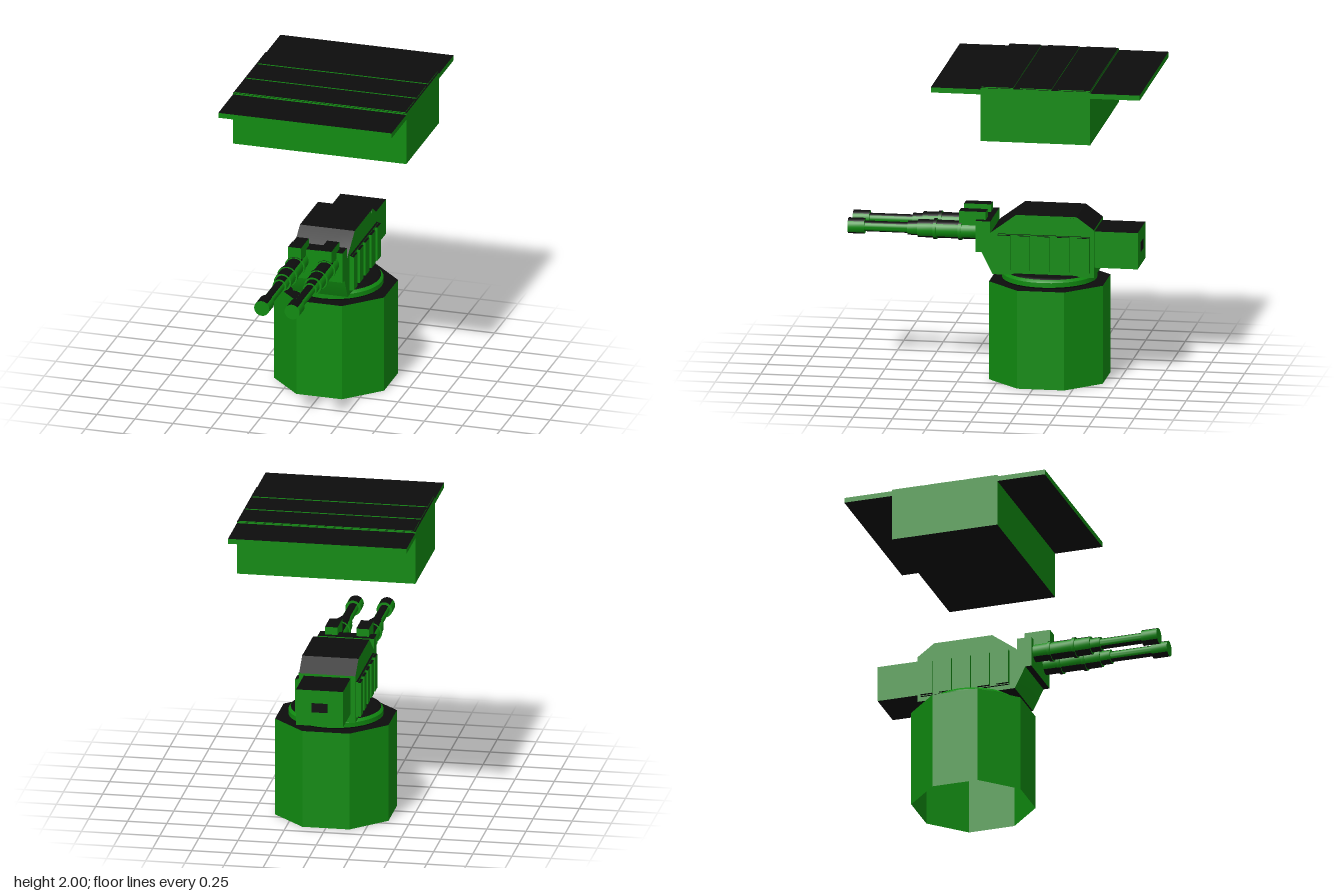
import * as THREE from 'three';
import { toCreasedNormals } from 'three/addons/utils/BufferGeometryUtils.js';

const green = new THREE.MeshStandardMaterial({ color: 0x108a10, side: THREE.DoubleSide });
green.name = 'green';
const black = new THREE.MeshStandardMaterial({ color: 0x0d0d0d, side: THREE.DoubleSide });
black.name = 'black';

// Mesh whose upward and downward faces are black and whose upright faces are green
function part(name, source) {
  const geo = toCreasedNormals(source, 0.6);
  const p = geo.attributes.position;
  const sides = [], flats = [];
  const tri = new THREE.Triangle(), n = new THREE.Vector3();
  for (let i = 0; i < p.count; i += 3) {
    tri.setFromAttributeAndIndices(p, i, i + 1, i + 2);
    if (tri.getArea() < 1e-9) continue;
    tri.getNormal(n);
    (Math.abs(n.y) > 0.7 ? flats : sides).push(i, i + 1, i + 2);
  }
  geo.setIndex([...sides, ...flats]);
  geo.clearGroups();
  geo.addGroup(0, sides.length, 0);
  geo.addGroup(sides.length, flats.length, 1);
  const mesh = new THREE.Mesh(geo, [green, black]);
  mesh.name = name;
  return mesh;
}

// Box given by its extents
function box(name, x0, x1, y0, y1, z0, z1) {
  const geo = new THREE.BoxGeometry(x1 - x0, y1 - y0, z1 - z0);
  geo.translate((x0 + x1) / 2, (y0 + y1) / 2, (z0 + z1) / 2);
  return part(name, geo);
}

function lathe(points, segments, phi = 0) {
  return new THREE.LatheGeometry(points.map(([r, h]) => new THREE.Vector2(r, h)), segments, phi);
}

export function createModel() {
  const model = new THREE.Group();
  model.name = 'gunTurret';
  const centerZ = -0.3;

  // Octagonal pedestal, open underneath
  const base = lathe([[0.392, 0], [0.392, 0.635], [0, 0.635]], 8, Math.PI / 8);
  model.add(part('pedestal', base.translate(0, 0, centerZ)));

  // Turntable ring
  const ring = lathe([[0.29, 0.635], [0.3, 0.645], [0.3, 0.675], [0.285, 0.692], [0.265, 0.7], [0, 0.7]], 32);
  model.add(part('turntable', ring.translate(0, 0, centerZ)));

  // Turret hull, a side profile (z, y) extruded across x
  const profile = [[0.035, 0.69], [0.105, 0.83], [0.105, 0.9], [0.04, 0.965], [-0.115, 1.08],
    [-0.5, 1.08], [-0.61, 1.0], [-0.61, 0.69]];
  const shape = new THREE.Shape(profile.map(([z, y]) => new THREE.Vector2(z, y)));
  const hull = new THREE.ExtrudeGeometry(shape, { depth: 0.36, bevelEnabled: false });
  model.add(part('hull', hull.rotateY(-Math.PI / 2).translate(0.18, 0, 0)));
  model.add(box('gunMantlet', -0.18, 0.18, 0.83, 1.03, 0.05, 0.145));

  // Rear box with a dark slot
  model.add(box('rearBox', -0.15, 0.15, 0.75, 0.985, -0.885, -0.61));
  const slot = new THREE.Mesh(new THREE.BoxGeometry(0.1, 0.06, 0.006), black);
  slot.name = 'rearSlot';
  slot.position.set(0, 0.87, -0.886);
  model.add(slot);

  // Small handle on the roof
  const handle = new THREE.CylinderGeometry(0.012, 0.012, 0.055, 10).rotateZ(Math.PI / 2);
  model.add(part('roofHandle', handle.translate(0.158, 1.066, -0.47)));

  for (const s of [-1, 1]) {
    // Ribbed side panels
    const span = (name, a, b, ...rest) => box(name, Math.min(s * a, s * b), Math.max(s * a, s * b), ...rest);
    model.add(span('sidePanel', 0.175, 0.193, 0.72, 0.955, -0.585, 0));
    for (let i = 0; i < 5; i++) {
      const z = -0.585 + i * 0.1263;
      model.add(span('sideRib', 0.19, 0.21, 0.725, 0.95, z, z + 0.08));
    }

    // Gun barrel with collars and muzzle
    const barrel = lathe([[0, 0.1], [0.057, 0.1], [0.057, 0.24], [0.066, 0.24], [0.066, 0.26], [0.057, 0.26],
      [0.057, 0.4], [0.066, 0.4], [0.066, 0.42], [0.057, 0.42], [0.057, 0.52], [0.045, 0.52],
      [0.045, 0.585], [0.034, 0.585], [0.034, 0.86], [0.05, 0.86], [0.05, 0.965], [0, 0.965]], 24);
    model.add(part('gunBarrel', barrel.rotateX(Math.PI / 2).translate(s * 0.1, 0.95, 0)));
    model.add(span('barrelBlock', 0.06, 0.14, 0.99, 1.08, 0.085, 0.255));
  }

  // Raised slab: box, wide plate and three roof panels
  model.add(box('slabBox', -0.57, 0.57, 1.65, 1.994, -0.65, 0.05));
  model.add(box('slabPlate', -0.57, 0.57, 1.952, 1.985, -0.965, 0.365));
  for (const z of [-0.045, -0.29, -0.535]) {
    model.add(box('roofPanel', -0.56, 0.56, 1.99, 2.0, z - 0.112, z + 0.09));
  }

  return model;
}
